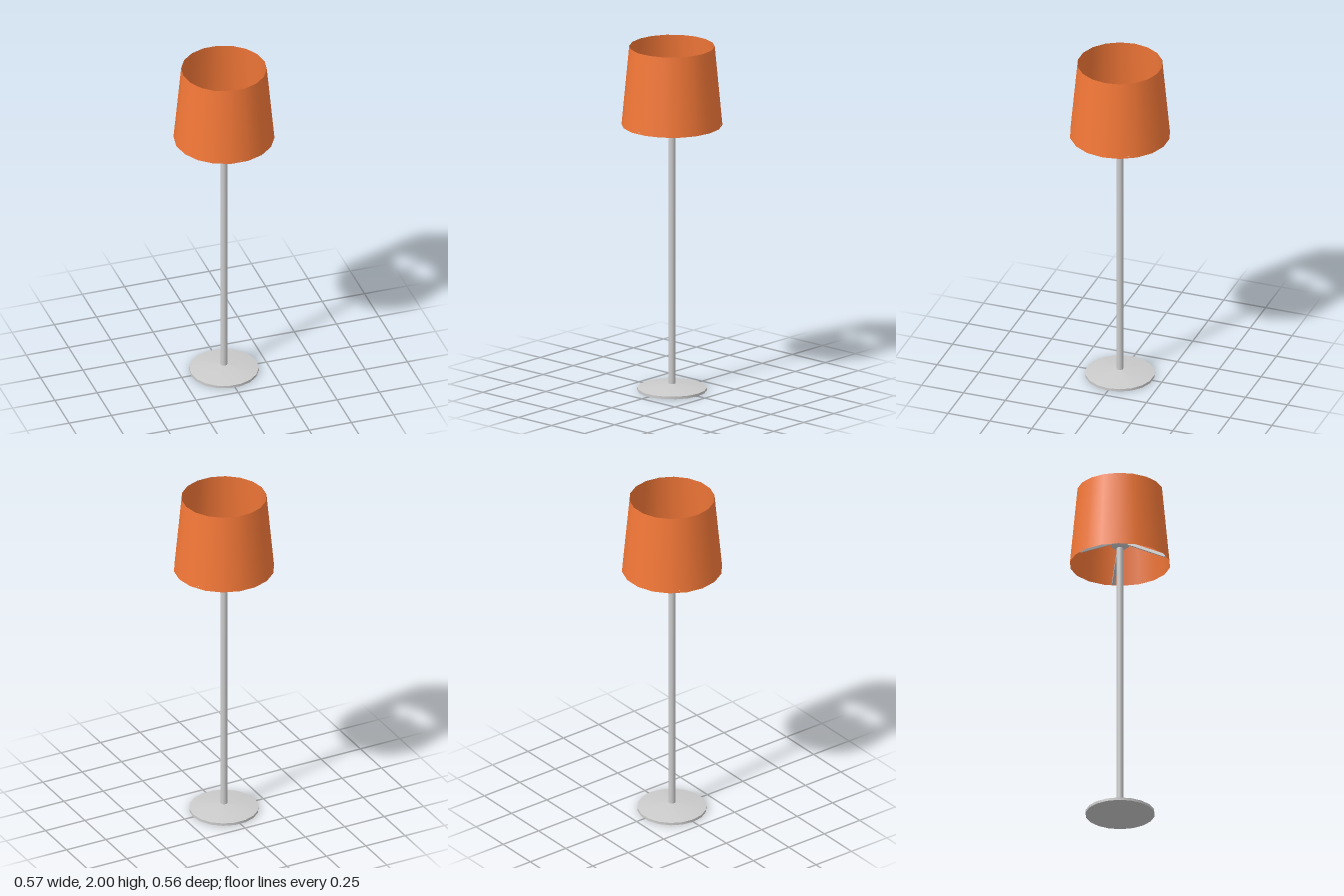
import * as THREE from 'three';
import { toCreasedNormals } from 'three/addons/utils/BufferGeometryUtils.js';

const SIDES = 18;

export function createModel() {
  const lamp = new THREE.Group();
  lamp.name = 'floorLamp';
  const metal = new THREE.MeshStandardMaterial({ color: 0xcccccc });
  const fabric = new THREE.MeshStandardMaterial({ color: 0xf47838, side: THREE.DoubleSide });
  const glow = new THREE.MeshStandardMaterial({ color: 0xffd878 });

  const add = (name, geometry, material, y = 0) => {
    const mesh = new THREE.Mesh(geometry, material);
    mesh.name = name;
    mesh.position.y = y;
    lamp.add(mesh);
    return mesh;
  };

  // Turned part with a corner on the x axis; profile runs from bottom to top
  const turned = (profile) => {
    const points = profile.map(([r, y]) => new THREE.Vector2(r, y));
    const geometry = new THREE.LatheGeometry(points, SIDES).rotateY(Math.PI / 2);
    return toCreasedNormals(geometry, 0.5);
  };

  // Shallow conical foot
  add('base', turned([[0, 0], [0.195, 0], [0.195, 0.015], [0.018, 0.04], [0, 0.04]]), metal);

  // Slim upright
  add('pole', new THREE.CylinderGeometry(0.019, 0.019, 1.63, SIDES, 1, true), metal, 0.845);

  // Collar that carries the struts and the bulb
  add('hub', turned([
    [0.018, 1.645], [0.035, 1.648], [0.051, 1.66], [0.051, 1.68], [0.04, 1.69], [0, 1.69],
  ]), metal);

  add('bulb', new THREE.SphereGeometry(0.039, 24, 16), glow, 1.715);

  // Three struts sloping down from the hub to the lower rim of the shade
  const inner = new THREE.Vector3(0, 1.67, 0.04);
  const outer = new THREE.Vector3(0, 1.55, 0.275);
  for (let i = 0; i < 3; i++) {
    const arm = new THREE.Group();
    arm.name = 'strut' + (i + 1);
    arm.rotation.y = (i * Math.PI * 2) / 3;
    const bar = new THREE.Mesh(new THREE.BoxGeometry(0.016, 0.016, inner.distanceTo(outer)), metal);
    bar.name = 'strutBar';
    bar.position.lerpVectors(inner, outer, 0.5);
    bar.rotation.x = Math.atan2(inner.y - outer.y, outer.z - inner.z);
    arm.add(bar);
    lamp.add(arm);
  }

  // Open tapered shade
  const shade = new THREE.CylinderGeometry(0.24, 0.283, 0.455, SIDES, 1, true);
  add('shade', shade.rotateY(Math.PI / 2), fabric, 1.7725);

  return lamp;
}
